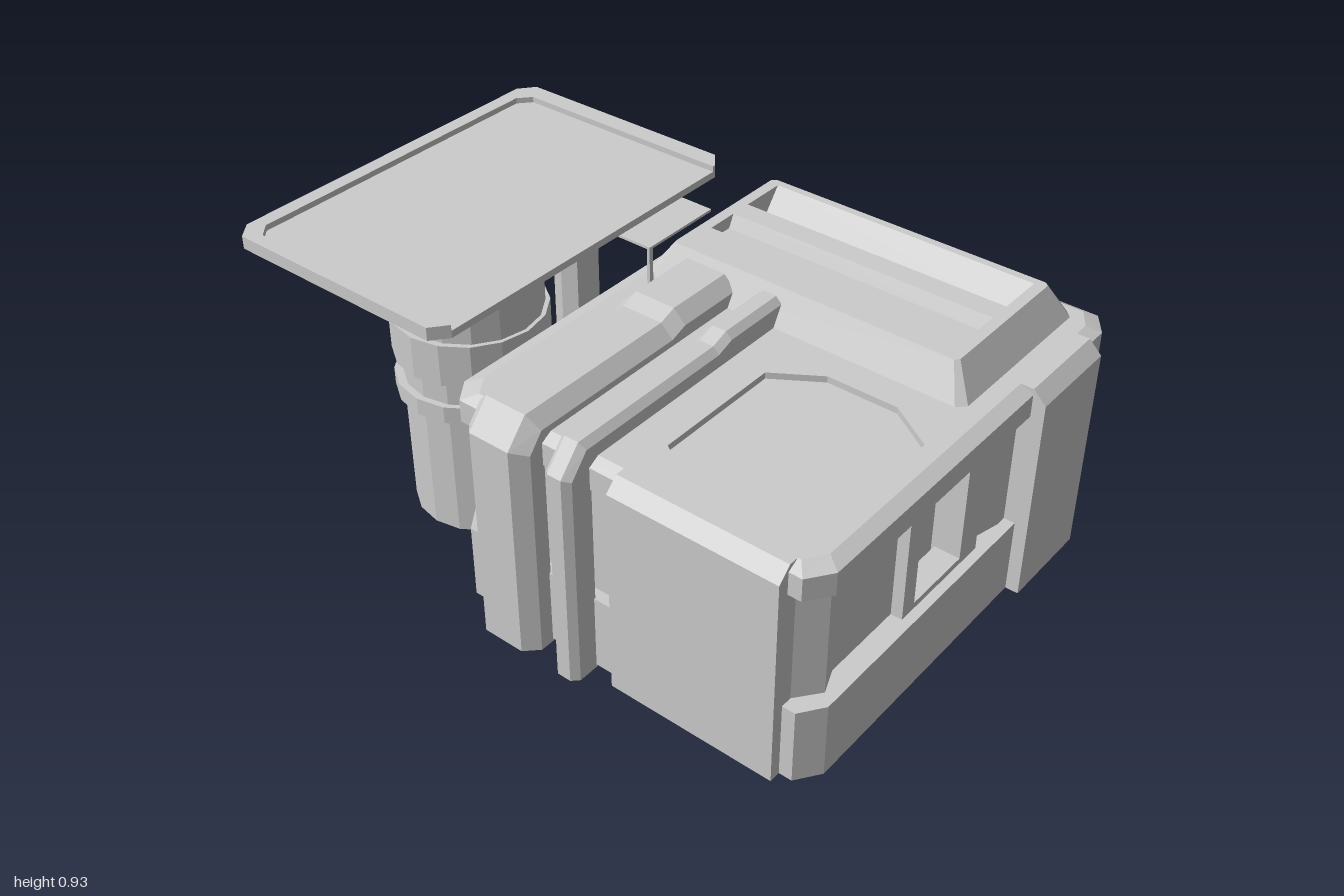
import * as THREE from 'three';

const solid = new THREE.MeshStandardMaterial({ color: 0xcccccc, flatShading: true });
const sheet = new THREE.MeshStandardMaterial({ color: 0xcccccc, flatShading: true, side: THREE.DoubleSide });

export function createModel() {
  const model = new THREE.Group();
  model.name = 'machineBlock';

  function add(name, geometry, material = solid) {
    const mesh = new THREE.Mesh(geometry, material);
    mesh.name = name;
    model.add(mesh);
    return mesh;
  }

  // Rectangle in plan with chamfered corners, as [x, z] points
  const oct = (x0, x1, z0, z1, cx, cz = cx) => [
    [x0 + cx, z1], [x1 - cx, z1], [x1, z1 - cz], [x1, z0 + cz],
    [x1 - cx, z0], [x0 + cx, z0], [x0, z0 + cz], [x0, z1 - cz],
  ];
  const rect = (x0, x1, z0, z1) => [[x0, z1], [x1, z1], [x1, z0], [x0, z0]];
  const vecs = (pts) => pts.map(([x, z]) => new THREE.Vector2(x, -z));

  function planShape(outline, holes = []) {
    const shape = new THREE.Shape(vecs(outline));
    holes.forEach((h) => shape.holes.push(new THREE.Path(vecs(h))));
    return shape;
  }

  // Upright prism from a plan outline
  function prism(outline, y0, y1, holes) {
    return new THREE.ExtrudeGeometry(planShape(outline, holes), { depth: y1 - y0, bevelEnabled: false })
      .rotateX(-Math.PI / 2).translate(0, y0, 0);
  }

  // Skin over matching cross-sections of [x, y, z] points
  function loft(rings, { wrap = true, caps = true } = {}) {
    const tris = [];
    const n = rings[0].length;
    for (let i = 0; i + 1 < rings.length; i++) {
      for (let j = 0; j < (wrap ? n : n - 1); j++) {
        const k = (j + 1) % n;
        const [a, b, c, d] = [rings[i][j], rings[i][k], rings[i + 1][k], rings[i + 1][j]];
        tris.push([a, b, c], [a, c, d]);
      }
    }
    if (caps) {
      const last = rings[rings.length - 1];
      for (let j = 1; j + 1 < n; j++) {
        tris.push([rings[0][0], rings[0][j + 1], rings[0][j]], [last[0], last[j], last[j + 1]]);
      }
    }
    // Turn all faces outward if the skin came out inverted
    let volume = 0;
    const [u, v, w] = [new THREE.Vector3(), new THREE.Vector3(), new THREE.Vector3()];
    tris.forEach(([a, b, c]) => {
      volume += u.fromArray(a).dot(v.fromArray(b).cross(w.fromArray(c)));
    });
    if (volume < 0) tris.forEach((t) => t.reverse());
    const geometry = new THREE.BufferGeometry();
    geometry.setAttribute('position', new THREE.Float32BufferAttribute(tris.flat(2), 3));
    geometry.computeVertexNormals();
    return geometry;
  }
  const atHeight = (outline, y) => outline.map(([x, z]) => [x, y, z]);

  // Main housing: base, inset wall with side recesses, upper band
  const outer = oct(-0.25, 0.96, -0.755, 0.665, 0.05, 0.07);
  add('base', prism(outer, 0.01, 0.25));
  add('upperBand', prism(outer, 0.62, 0.69));
  add('middleWall', prism([
    [-0.19, 0.63], [0.87, 0.63], [0.925, 0.56], [0.895, 0.485], [0.895, 0.165],
    [0.84, 0.165], [0.84, -0.06], [0.895, -0.06], [0.895, -0.145], [0.925, -0.27],
    [0.925, -0.645], [0.87, -0.725], [-0.19, -0.725], [-0.24, -0.645], [-0.24, 0.56],
  ], 0.25, 0.62));

  // Window frame on the right side
  const frame = new THREE.Shape([[-0.22, 0.25], [0.145, 0.25], [0.145, 0.62], [-0.22, 0.62]]
    .map((p) => new THREE.Vector2(...p)));
  frame.holes.push(new THREE.Path([[-0.165, 0.27], [-0.165, 0.595], [0.06, 0.595], [0.06, 0.27]]
    .map((p) => new THREE.Vector2(...p))));
  add('windowFrame', new THREE.ExtrudeGeometry(frame, { depth: 0.08, bevelEnabled: false })
    .rotateY(Math.PI / 2).translate(0.85, 0, 0));

  // Roof with bevelled edge and sunken hatch
  const roofTop = oct(-0.2, 0.92, -0.72, 0.63, 0.04, 0.06);
  const hatch = oct(0.365, 0.866, -0.01, 0.58, 0.14, 0.09);
  add('roofEdge', loft([atHeight(outer, 0.69), atHeight(roofTop, 0.71)], { caps: false }), sheet);
  add('roof', prism(roofTop, 0.69, 0.71, [hatch]));

  // Raised rear hood with two slots
  const hoodTop = oct(-0.145, 0.805, -0.64, -0.16, 0.012);
  const slots = [[-0.615, -0.55, -0.465, 0.725], [-0.395, -0.375, -0.29, 0.77]];
  add('hoodSides', loft([
    atHeight(oct(-0.21, 0.865, -0.695, -0.105, 0.025), 0.71), atHeight(hoodTop, 0.81),
  ], { caps: false }), sheet);
  add('hoodTop', new THREE.ShapeGeometry(
    planShape(hoodTop, slots.map(([a, , c]) => rect(-0.11, 0.77, a, c))),
  ).rotateX(-Math.PI / 2).translate(0, 0.81, 0), sheet);
  slots.forEach(([z0, z1, z2, y]) => {
    const section = (x) => [[x, 0.81, z0], [x, y, z1], [x, y, z2], [x, 0.81, z2]];
    add('hoodSlot', loft([section(-0.11), section(0.77)], { wrap: false }), sheet);
  });

  // Front and right cover panels with sloped tops: [distance out, height]
  const cover = [[-0.06, 0.01], [0.04, 0.01], [0.04, 0.67], [0, 0.71], [-0.06, 0.71]];
  add('frontPanel', loft([0.34, 0.87].map((x) => cover.map(([d, y]) => [x, y, 0.66 + d]))));
  add('sidePanel', loft([-0.61, -0.305].map((z) => cover.map(([d, y]) => [0.96 + d, y, z]))));

  // Chamfered ducts running up the front and back over the roof
  function duct(name, x0, x1, c) {
    const run = [ // outer z, y; shoulder z, y; inner z, y
      [0.75, 0, 0.75 - c, 0, 0.66, 0],
      [0.75, 0.69, 0.75 - c, 0.69 - c * 0.4, 0.66, 0.67],
      [0.68, 0.77, 0.68 - c * 0.4, 0.77 - c, 0.65, 0.7],
      [0.14, 0.77, 0.14, 0.77 - c, 0.14, 0.7],
      [0.085, 0.79, 0.085, 0.79 - c, 0.085, 0.7],
      [-0.14, 0.79, -0.14, 0.79 - c, -0.14, 0.7],
    ];
    add(name, loft(run.map(([oz, oy, sz, sy, iz, iy]) => [
      [x0, iy, iz], [x0, sy, sz], [x0 + c, oy, oz],
      [x1 - c, oy, oz], [x1, sy, sz], [x1, iy, iz],
    ])));
  }
  duct('wideDuct', -0.12, 0.095, 0.04);
  duct('narrowDuct', 0.17, 0.255, 0.02);

  // Column with collars, and a thin pole behind it
  function post(name, r, x, z, y0, y1, sides) {
    add(name, new THREE.CylinderGeometry(r, r, y1 - y0, sides)).position.set(x, (y0 + y1) / 2, z);
  }
  post('column', 0.212, -0.517, 0.3, 0.01, 0.89, 16);
  post('lowerCollar', 0.232, -0.525, 0.3, 0.415, 0.47, 16);
  post('upperCollar', 0.232, -0.525, 0.3, 0.545, 0.68, 16);
  post('thinPole', 0.065, -0.367, 0.015, 0.01, 0.89, 8);

  // Tray on the column, with a lip on three sides
  add('tray', prism(oct(-1, -0.2, -0.47, 0.72, 0.04, 0.05), 0.89, 0.912));
  add('trayLip', prism([
    [-0.2, 0.67], [-0.24, 0.72], [-0.96, 0.72], [-1, 0.67], [-1, -0.42], [-0.96, -0.47],
    [-0.24, -0.47], [-0.2, -0.42], [-0.2, -0.41], [-0.92, -0.41], [-0.955, -0.37],
    [-0.955, 0.64], [-0.92, 0.68], [-0.21, 0.68],
  ], 0.912, 0.93));

  // Small flap on a thin stem beside the hood
  add('flap', prism(rect(-0.27, -0.135, -0.32, -0.04), 0.842, 0.85));
  add('flapStem', prism(rect(-0.145, -0.135, -0.055, -0.04), 0.7, 0.845));

  return model;
}
